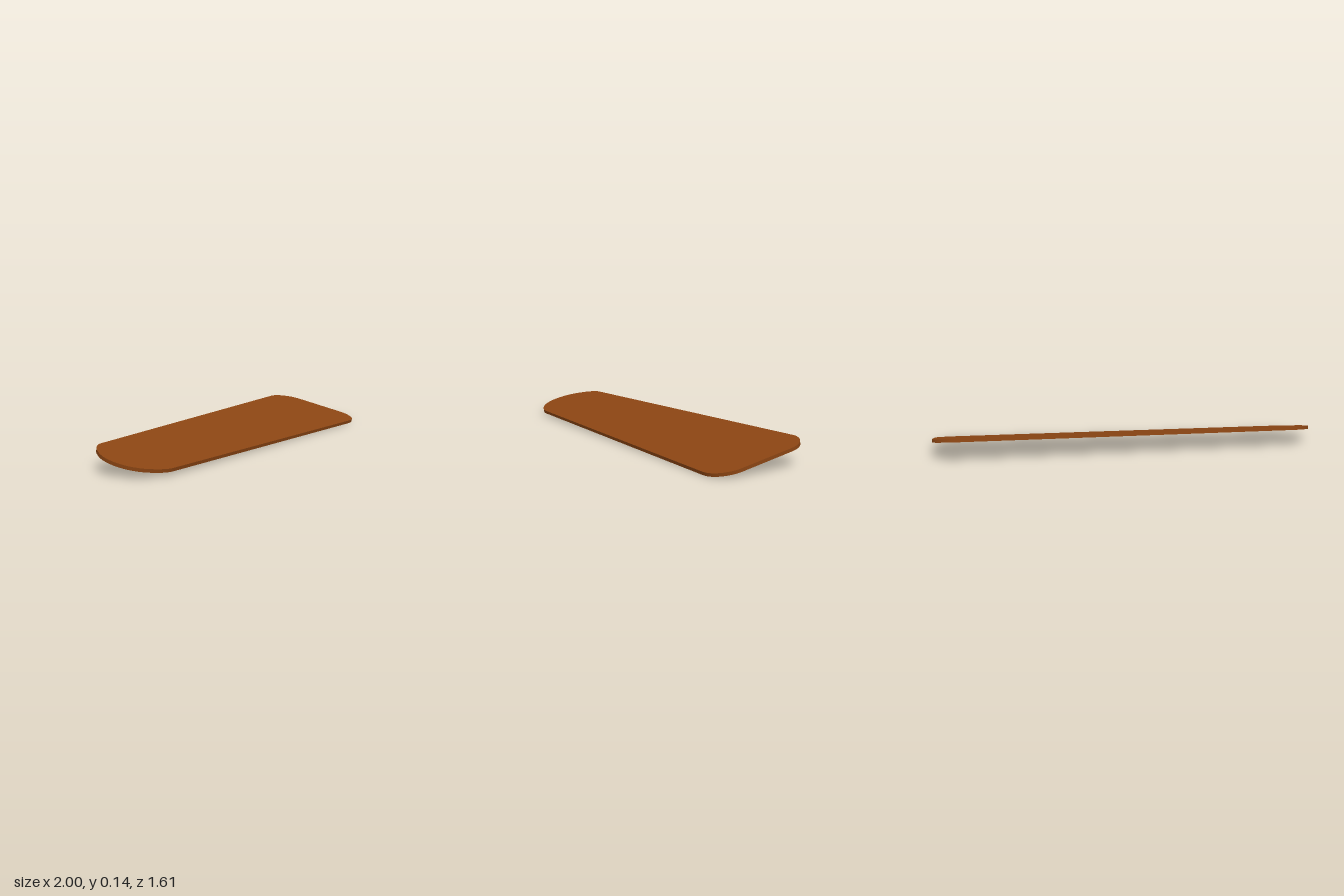
import * as THREE from 'three';
import { toCreasedNormals } from 'three/addons/utils/BufferGeometryUtils.js';

const THICKNESS = 0.019;

// Tapered outline in plan: one round end, one square end with rounded corners (y = -z)
function plankOutline() {
  const s = new THREE.Shape();
  s.moveTo(-0.663, -0.77);
  s.lineTo(0.936, 0.294);
  s.quadraticCurveTo(1, 0.337, 1, 0.41);
  s.quadraticCurveTo(1, 0.459, 0.973, 0.497);
  s.lineTo(0.79, 0.754);
  s.quadraticCurveTo(0.752, 0.807, 0.674, 0.807);
  s.quadraticCurveTo(0.623, 0.807, 0.583, 0.775);
  s.lineTo(-0.945, -0.438);
  s.quadraticCurveTo(-1, -0.482, -1, -0.593);
  s.bezierCurveTo(-1, -0.708, -0.909, -0.802, -0.797, -0.802);
  s.quadraticCurveTo(-0.711, -0.802, -0.663, -0.77);
  return s;
}

export function createModel() {
  const group = new THREE.Group();
  group.name = 'plank';

  const geometry = new THREE.ExtrudeGeometry(plankOutline(), {
    depth: THICKNESS, bevelEnabled: false, curveSegments: 12,
  });
  geometry.rotateX(-Math.PI / 2);

  // Lay the board on a tilted plane, with its thickness along the plane's normal
  const slopeX = -0.122, slopeZ = -0.167;
  const normal = new THREE.Vector3(-slopeX, 1, -slopeZ).normalize();
  const pos = geometry.attributes.position;
  const v = new THREE.Vector3();
  for (let i = 0; i < pos.count; i++) {
    v.fromBufferAttribute(pos, i);
    const height = v.y - THICKNESS / 2;
    v.y = 0.0735 + slopeX * v.x + slopeZ * v.z;
    v.addScaledVector(normal, height);
    pos.setXYZ(i, v.x, v.y, v.z);
  }
  geometry.computeBoundingBox();
  geometry.translate(0, -geometry.boundingBox.min.y, 0);

  const board = new THREE.Mesh(
    toCreasedNormals(geometry, 0.6),
    new THREE.MeshStandardMaterial({ color: 0x8b4513 }),
  );
  board.name = 'board';
  group.add(board);
  return group;
}
